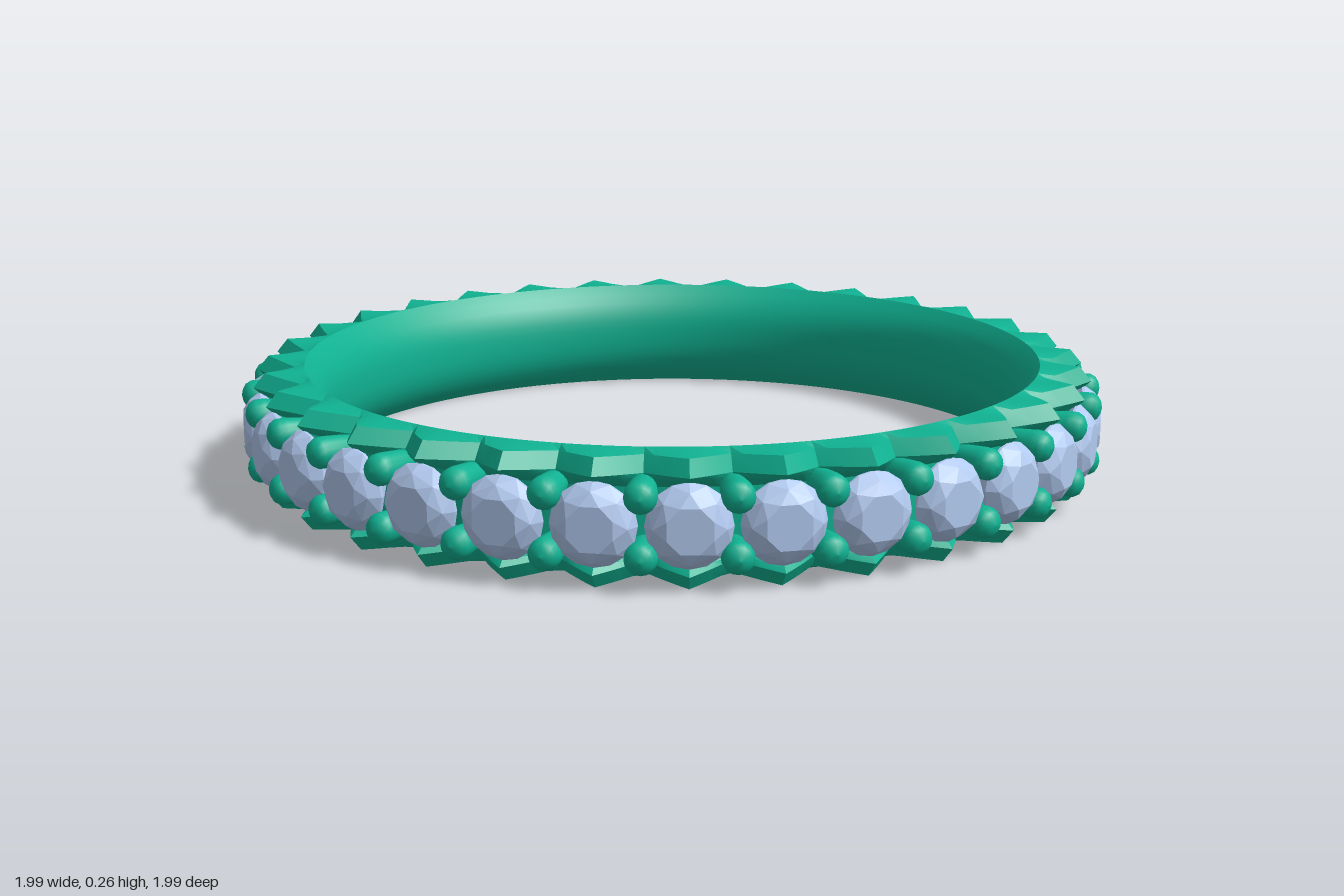
import * as THREE from 'three';
import { toCreasedNormals } from 'three/addons/utils/BufferGeometryUtils.js';
import { ConvexGeometry } from 'three/addons/geometries/ConvexGeometry.js';

const STONES = 32;
const HEIGHT = 0.265;
const MID = HEIGHT / 2;

// Cross-section of the band as [radius, y]; w is 1 behind a stone and 0 in the notch between two
function bandSection(w) {
  const mix = (a, b) => a + (b - a) * w;
  const pts = [];
  // rounded inside, from bottom to top
  for (let i = 0; i <= 12; i++) {
    const t = i / 6 - 1;
    pts.push([0.8 + 0.055 * Math.pow(Math.abs(t), 2.6), MID + t * MID]);
  }
  // scalloped outside with a groove for the stones; upper half, then mirrored
  const upper = [
    [mix(0.872, 0.945), mix(0.122, MID)],
    [mix(0.895, 0.972), mix(0.09, 0.1)],
    [mix(0.895, 0.955), 0.084],
    [0.89, 0.06],
  ];
  upper.forEach(([r, y]) => pts.push([r, MID + y]));
  upper.reverse().forEach(([r, y]) => pts.push([r, MID - y]));
  return pts;
}

function bandGeometry() {
  const perStone = 8, steps = STONES * perStone;
  const positions = [], index = [];
  const n = bandSection(0).length;
  for (let i = 0; i < steps; i++) {
    const a = (i / steps) * Math.PI * 2;
    const w = Math.abs(1 - 2 * ((i % perStone) / perStone));
    for (const [r, y] of bandSection(w)) positions.push(r * Math.sin(a), y, r * Math.cos(a));
    const i2 = (i + 1) % steps;
    for (let j = 0; j < n; j++) {
      const j2 = (j + 1) % n;
      const p = i * n + j, q = i * n + j2, s = i2 * n + j2, t = i2 * n + j;
      index.push(p, q, s, p, s, t);
    }
  }
  const geo = new THREE.BufferGeometry();
  geo.setAttribute('position', new THREE.Float32BufferAttribute(positions, 3));
  geo.setIndex(index);
  return toCreasedNormals(geo, 0.4);
}

// Brilliant-cut stone facing +z, its depth measured from the ring's axis
function stoneGeometry() {
  const pts = [new THREE.Vector3(0, 0, 0.87)];
  const circle = (count, r, z, offset) => {
    for (let i = 0; i < count; i++) {
      const a = ((i + offset) / count) * Math.PI * 2;
      pts.push(new THREE.Vector3(r * Math.cos(a), r * Math.sin(a), z));
    }
  };
  circle(8, 0.05, 0.996, 0.5);
  circle(8, 0.073, 0.982, 0);
  circle(16, 0.088, 0.958, 0);
  circle(16, 0.088, 0.952, 0);
  return new ConvexGeometry(pts);
}

// Tapered claw with a domed tip, pointing along +z
function prongGeometry() {
  const profile = [
    [0, 0.865], [0.02, 0.87], [0.029, 0.91], [0.034, 0.96],
    [0.033, 0.978], [0.026, 0.99], [0.014, 0.997], [0, 1.0],
  ].map(([r, d]) => new THREE.Vector2(r, d));
  return new THREE.LatheGeometry(profile, 16).rotateX(Math.PI / 2);
}

export function createModel() {
  const metal = new THREE.MeshStandardMaterial({ color: 0x10b292 });
  const crystal = new THREE.MeshStandardMaterial({ color: 0xb2caf0 });
  const ring = new THREE.Group();
  ring.name = 'ring';

  const add = (parent, name, geo, mat, y = 0, angle = 0) => {
    const mesh = new THREE.Mesh(geo, mat);
    mesh.name = name;
    mesh.position.y = y;
    mesh.rotation.y = angle;
    parent.add(mesh);
  };

  add(ring, 'band', bandGeometry(), metal);

  const stones = new THREE.Group();
  stones.name = 'stones';
  const prongs = new THREE.Group();
  prongs.name = 'prongs';
  ring.add(stones, prongs);

  // One stone per step, and a pair of prongs in each gap
  const stoneGeo = stoneGeometry(), prongGeo = prongGeometry();
  const step = (Math.PI * 2) / STONES;
  for (let i = 0; i < STONES; i++) {
    add(stones, 'stone', stoneGeo, crystal, MID, i * step);
    for (const side of [-1, 1]) {
      add(prongs, 'prong', prongGeo, metal, MID + side * 0.062, (i + 0.5) * step);
    }
  }
  return ring;
}
